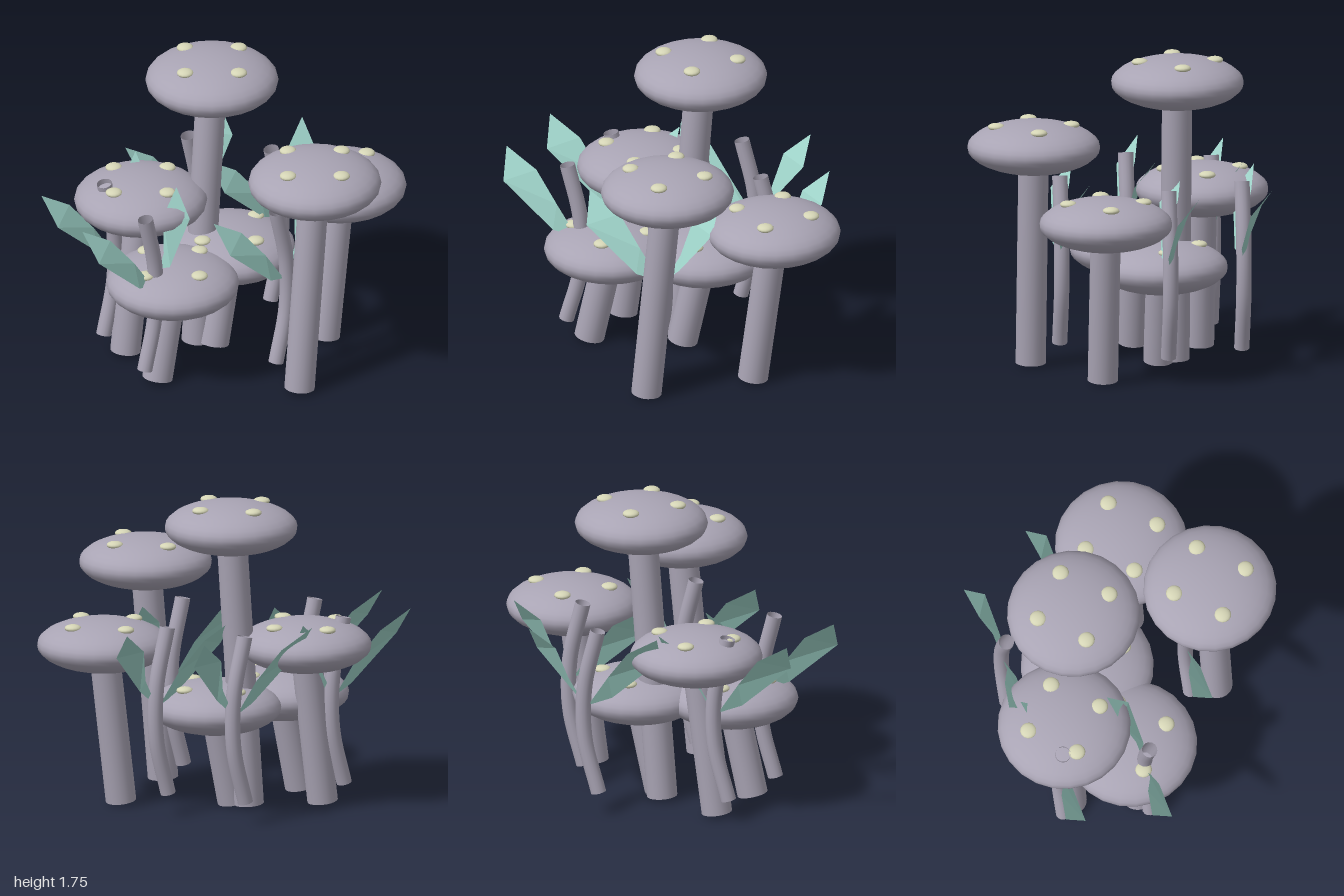
import * as THREE from 'three';

const V = (x, y, z) => new THREE.Vector3(x, y, z);

export function createModel() {
  const model = new THREE.Group();
  model.name = 'mushroomCluster';

  const flesh = new THREE.MeshStandardMaterial({ name: 'mushroomGrey', color: 0xa9a4b4, side: THREE.DoubleSide });
  const leafMat = new THREE.MeshStandardMaterial({ name: 'leafTeal', color: 0x9fd3c9, side: THREE.DoubleSide });
  const spotMat = new THREE.MeshStandardMaterial({ name: 'spotCream', color: 0xd5d5b6 });

  const add = (parent, name, geo, mat, x = 0, y = 0, z = 0) => {
    const mesh = new THREE.Mesh(geo, mat);
    mesh.name = name;
    mesh.position.set(x, y, z);
    parent.add(mesh);
    return mesh;
  };

  // Shared cap and spot shapes: flattened spheres
  const capGeo = new THREE.SphereGeometry(0.37, 24, 18).scale(1, 0.145 / 0.37, 1);
  const spotGeo = new THREE.SphereGeometry(0.047, 14, 10).scale(1, 0.45, 1);

  // Mushroom: leaning open stem, cap and a ring of four spots
  const mushroom = (x, y, z) => {
    const g = new THREE.Group();
    g.name = 'mushroom';
    const path = new THREE.LineCurve3(V(x - 0.12, 0.02, z), V(x, y, z));
    add(g, 'stem', new THREE.TubeGeometry(path, 4, 0.085, 20), flesh);
    add(g, 'cap', capGeo, flesh, x, y, z);
    for (let i = 0; i < 4; i++) {
      const a = i * Math.PI / 2;
      add(g, 'spot', spotGeo, spotMat, x + 0.21 * Math.cos(a), y + 0.12, z + 0.21 * Math.sin(a));
    }
    model.add(g);
  };
  [[0.09, 1.61, -0.31], [0.09, 1.265, 0.495], [0.62, 0.925, 0.165],
    [-0.28, 0.925, -0.5], [-0.385, 0.575, -0.145], [0.13, 0.575, -0.215],
  ].forEach(p => mushroom(...p));

  // Leaf blade: base, lower pair, upper pair, tip
  const leaf = pts => {
    const geo = new THREE.BufferGeometry();
    geo.setAttribute('position', new THREE.Float32BufferAttribute(pts.flat(), 3));
    geo.setIndex([0, 1, 2, 1, 3, 2, 2, 3, 4, 3, 5, 4]);
    const flat = geo.toNonIndexed();
    flat.computeVertexNormals();
    return flat;
  };
  const leftLeaf = leaf([[0.06, 0.63, 0], [-0.07, 0.675, 0.03], [-0.06, 0.81, -0.02],
    [-0.36, 0.93, 0], [-0.19, 0.98, -0.08], [-0.37, 1.09, -0.12]]);
  // Wound the other way round because it leans to the opposite side
  const rightLeaf = leaf([[0.08, 0.63, 0], [0.17, 0.79, -0.02], [0.175, 0.72, 0.025],
    [0.225, 0.975, -0.08], [0.355, 0.94, 0], [0.37, 1.09, -0.12]]);

  // Sprout: bent open stalk with two leaves
  const bend = new THREE.CatmullRomCurve3([V(0, 0.125, 0), V(0.08, 0.44, 0), V(0.08, 0.74, 0), V(0.005, 1.07, 0)]);
  const stalkGeo = new THREE.TubeGeometry(bend, 20, 0.043, 14);
  [[-0.63, -0.12], [0.24, -0.65], [0.45, -0.21], [-0.05, 0.33], [-0.49, -0.58]].forEach(([x, z]) => {
    const g = new THREE.Group();
    g.name = 'sprout';
    add(g, 'stalk', stalkGeo, flesh);
    add(g, 'leftLeaf', leftLeaf, leafMat);
    add(g, 'rightLeaf', rightLeaf, leafMat);
    g.position.set(x, 0, z);
    model.add(g);
  });

  return model;
}
